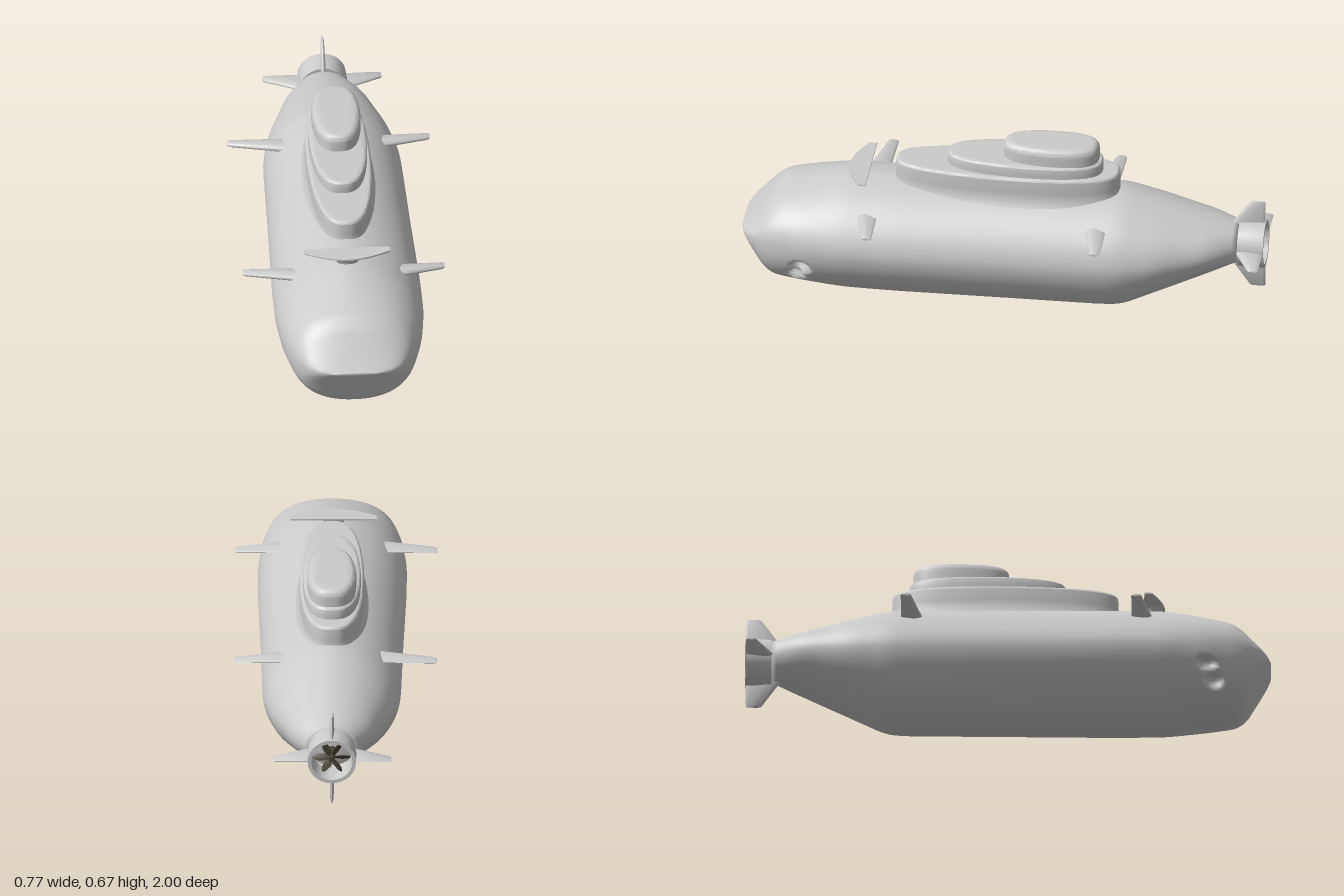
import * as THREE from 'three';
import { toCreasedNormals } from 'three/addons/utils/BufferGeometryUtils.js';

const grey = new THREE.MeshStandardMaterial({ color: 0xcccccc, side: THREE.DoubleSide });
const dark = new THREE.MeshStandardMaterial({ color: 0x4a4436, side: THREE.DoubleSide });
const CX = 0.015; // hull centre line

function mesh(name, geometry, material = grey) {
  const m = new THREE.Mesh(geometry, material);
  m.name = name;
  return m;
}

// Skin over closed rings: point(angle, ringIndex) -> [x, y, z]
function skin(rings, segments, point) {
  const pos = [], idx = [];
  for (let j = 0; j < rings; j++) {
    for (let i = 0; i < segments; i++) {
      pos.push(...point((i / segments) * Math.PI * 2, j));
      if (j === rings - 1) continue;
      const a = j * segments + i, b = j * segments + (i + 1) % segments;
      idx.push(a, b, b + segments, a, b + segments, a + segments);
    }
  }
  const g = new THREE.BufferGeometry();
  g.setAttribute('position', new THREE.Float32BufferAttribute(pos, 3));
  g.setIndex(idx);
  g.computeVertexNormals();
  return g;
}

const power = (v, e) => Math.sign(v) * Math.abs(v) ** e;

// Hull stations: z, half width, top, widest height, bottom, section power
const stations = [
  [-0.9, 0.09, 0.365, 0.29, 0.215, 2],
  [-0.8, 0.158, 0.392, 0.285, 0.175, 1.95],
  [-0.7, 0.192, 0.419, 0.275, 0.127, 1.9],
  [-0.6, 0.23, 0.446, 0.265, 0.08, 1.85],
  [-0.46, 0.26, 0.483, 0.255, 0.008, 1.8],
  [-0.38, 0.264, 0.484, 0.255, 0.003, 1.8],
  [0, 0.272, 0.484, 0.255, 0.003, 1.8],
  [0.4, 0.283, 0.484, 0.255, 0.003, 1.8],
  [0.6, 0.283, 0.482, 0.255, 0.006, 1.8],
  [0.75, 0.268, 0.447, 0.255, 0.031, 2],
  [0.865, 0.238, 0.418, 0.255, 0.05, 2.2],
  [0.9, 0.222, 0.376, 0.255, 0.062, 2.3],
  [0.96, 0.18, 0.304, 0.255, 0.178, 2.4],
  [0.985, 0.14, 0.275, 0.255, 0.226, 2.4],
  [1, 0.08, 0.259, 0.255, 0.251, 2.4],
];

function station(z) {
  let k = 1;
  while (k < stations.length - 1 && stations[k][0] < z) k++;
  const a = stations[k - 1], b = stations[k];
  const t = (z - a[0]) / (b[0] - a[0]);
  return a.map((v, i) => v + (b[i] - v) * t);
}

// Average nearby stations to soften the corners of the profile
function softStation(z) {
  const w = Math.max(0, Math.min(0.035, (z + 0.9) * 0.8, (1 - z) * 0.3));
  const sum = [0, 0, 0, 0, 0, 0];
  for (let k = -3; k <= 3; k++) station(z + (w * k) / 3).forEach((v, i) => { sum[i] += v / 7; });
  return sum;
}

function hullGeometry() {
  const n = 160;
  const rows = [];
  for (let j = 0; j <= n; j++) rows.push(softStation(-0.9 + 1.9 * (1 - (1 - j / n) ** 1.6)));
  const close = (r) => [r[0], 0, r[3], r[3], r[3], 2];
  rows.unshift(close(rows[0]));
  rows.push(close(rows[n + 1]));
  const dents = [[0.755, 0.178], [0.78, 0.128]];
  return skin(rows.length, 128, (a, j) => {
    const [z, w, top, mid, bottom, p] = rows[j];
    const c = Math.cos(a), s = Math.sin(a);
    let x = w * power(c, 2 / p);
    let y = mid + (s > 0 ? top - mid : mid - bottom) * power(s, 2 / p);
    // Two round recesses low on each bow cheek
    let push = 0;
    for (const [dz, dy] of dents) {
      const d = Math.hypot(z - dz, (y - dy) * 1.5) / 0.042;
      if (d < 1) push = Math.max(push, 0.036 * (1 - d * d) ** 0.8);
    }
    x -= Math.sign(x) * push;
    y += push * 0.5;
    return [CX + x, y, z];
  });
}

// One rounded tower deck, with a filleted top edge
function deck(name, front, back, half, base, top, fillet, flare = 0) {
  const rings = [[-flare, base], [0, base + flare * 1.5], [0, (base + top) / 2], [0, top - fillet]];
  for (let k = 1; k <= 6; k++) {
    const t = (k / 6) * Math.PI / 2;
    rings.push([fillet * (1 - Math.cos(t)), top - fillet * (1 - Math.sin(t))]);
  }
  rings.push([fillet + 0.015, top], [half, top]);
  const zc = (front + back) / 2, len = (front - back) / 2;
  const g = skin(rings.length, 72, (a, j) => {
    const [inset, y] = rings[j];
    const k = j === rings.length - 1 ? 0 : 1;
    const s = power(-Math.sin(a), 0.78);
    const taper = 1 - 0.1 * Math.max(0, s);
    return [CX + k * (half - inset) * power(Math.cos(a), 0.72) * taper, y, zc + k * (len - inset) * s];
  });
  return mesh(name, toCreasedNormals(g, 0.7));
}

// Fin growing along +x; root and tip are [x, z front, z back, half thickness]
function fin(name, root, tip) {
  const at = (t) => root.map((v, i) => v + (tip[i] - v) * t);
  const end = at(1.0), near = at(0.96);
  const shrunk = [end[0], end[1] - 0.004, end[2] + 0.004, end[3] * 0.55];
  const mid = (end[1] + end[2]) / 2;
  const rows = [root, near, shrunk, [end[0], mid, mid, 0]];
  const g = skin(rows.length, 24, (a, j) => {
    const [x, zf, zb, t] = rows[j];
    const s = Math.sin(a);
    return [x, t * Math.cos(a) * (1 + 0.45 * s), (zf + zb) / 2 + ((zf - zb) / 2) * s];
  });
  return mesh(name, toCreasedNormals(g, 0.8));
}

export function createModel() {
  const model = new THREE.Group();
  model.name = 'submarine';
  model.add(mesh('hull', hullGeometry()));

  // Stepped tower
  model.add(
    deck('lowerDeck', 0.42, -0.44, 0.123, 0.44, 0.56, 0.012, 0.018),
    deck('middleDeck', 0.22, -0.375, 0.11, 0.54, 0.606, 0.012),
    deck('upperDeck', 0.005, -0.36, 0.093, 0.59, 0.672, 0.026),
  );

  // Side planes, fore and aft
  for (const [place, back] of [['fore', 0.465], ['aft', -0.412]]) {
    for (const side of ['left', 'right']) {
      const f = fin(`${place}Plane_${side}`, [0.13, back + 0.095, back + 0.004, 0.014], [0.385, back + 0.038, back, 0.008]);
      f.position.y = 0.392;
      if (side === 'right') f.rotation.z = Math.PI;
      model.add(f);
    }
  }

  // Thin bow plane on a short stem
  const plate = new THREE.Shape();
  plate.moveTo(-0.165, -0.517);
  plate.lineTo(0.165, -0.517);
  plate.lineTo(0.163, -0.545);
  plate.quadraticCurveTo(0.07, -0.598, 0, -0.598);
  plate.quadraticCurveTo(-0.07, -0.598, -0.163, -0.545);
  const plateGeo = new THREE.ExtrudeGeometry(plate, { depth: 0.006, bevelEnabled: false, curveSegments: 16 });
  const bowPlane = mesh('bowPlane', toCreasedNormals(plateGeo, 0.5));
  bowPlane.rotation.x = -Math.PI / 2;
  bowPlane.position.set(0.01, 0.504, 0);
  bowPlane.rotation.x = -Math.PI / 2;
  const stemGeo = skin(6, 32, (a, j) => {
    const t = j / 5, flare = t * t * 0.035;
    return [0.01 + (0.035 + flare) * Math.cos(a), 0.465 + 0.041 * t, 0.562 - (0.022 + flare * 0.3) * Math.sin(a)];
  });
  model.add(bowPlane, mesh('bowPlaneStem', stemGeo));

  // Tail: duct, cross fins and propeller
  const tail = new THREE.Group();
  tail.name = 'tail';
  tail.position.set(0.013, 0.283, 0);
  const ring = [[0.078, -0.9], [0.09, -0.9], [0.094, -0.95], [0.092, -1], [0.078, -1], [0.075, -0.95], [0.078, -0.9]];
  const ductGeo = new THREE.LatheGeometry(ring.map(([r, y]) => new THREE.Vector2(r, y)), 48);
  ductGeo.rotateX(Math.PI / 2);
  tail.add(mesh('duct', toCreasedNormals(ductGeo, 0.6)));
  for (let k = 0; k < 4; k++) {
    const f = k % 2
      ? fin('verticalTailFin', [0.078, -0.866, -0.998, 0.009], [0.183, -0.94, -0.998, 0.006])
      : fin('horizontalTailFin', [0.078, -0.89, -0.998, 0.009], [0.226, -0.962, -0.998, 0.006]);
    f.rotation.z = (k * Math.PI) / 2;
    tail.add(f);
  }

  const hub = mesh('propellerHub', new THREE.CylinderGeometry(0.016, 0.012, 0.085, 20), dark);
  hub.rotation.x = Math.PI / 2;
  hub.position.z = -0.94;
  tail.add(hub);
  const bladeGeo = new THREE.SphereGeometry(1, 16, 10);
  bladeGeo.scale(0.032, 0.014, 0.003);
  bladeGeo.rotateX(0.6);
  bladeGeo.translate(0.04, 0, 0);
  for (let k = 0; k < 6; k++) {
    const blade = mesh('propellerBlade', bladeGeo, dark);
    blade.position.z = -0.96;
    blade.rotation.z = (k * Math.PI) / 3;
    tail.add(blade);
  }
  model.add(tail);
  return model;
}
